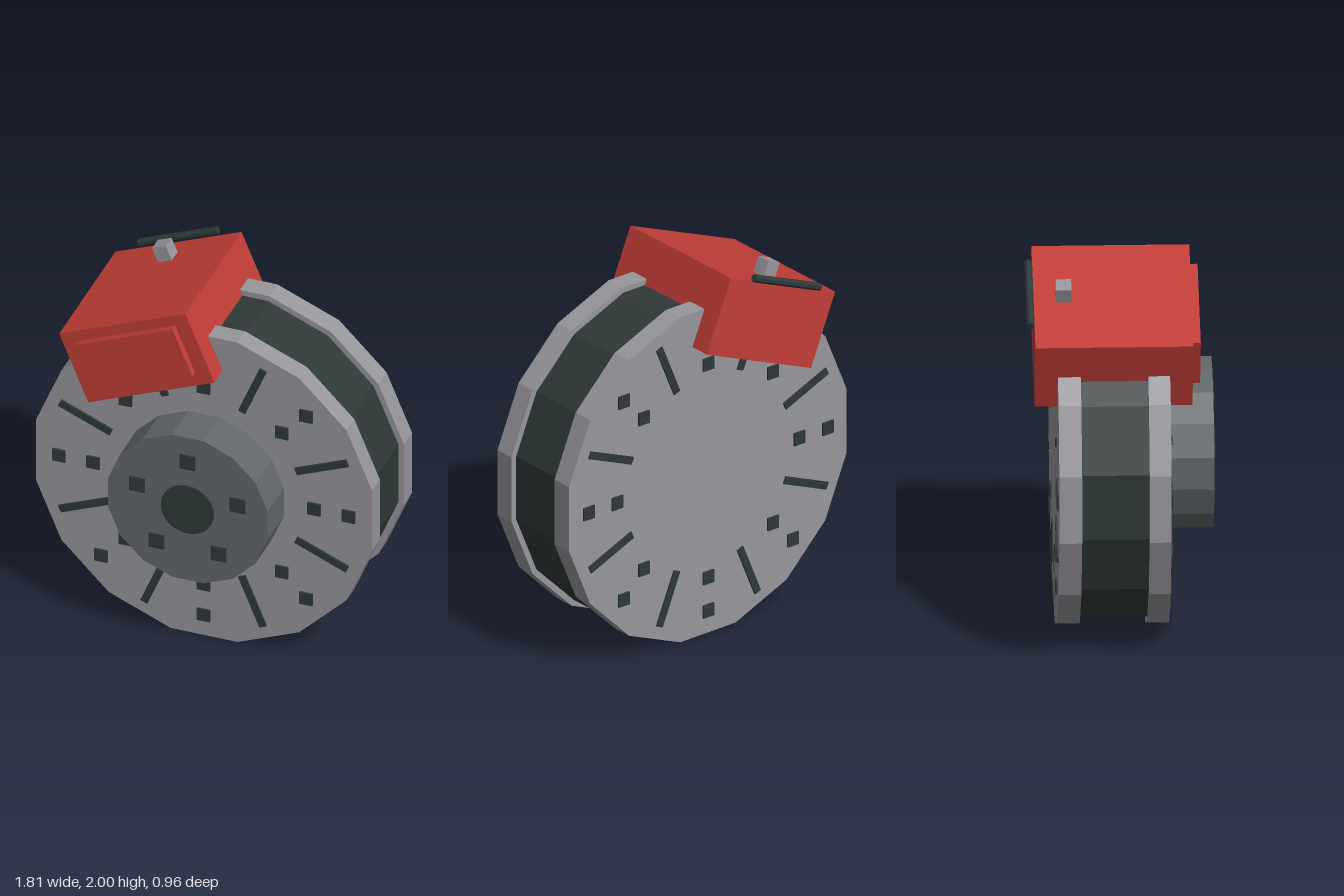
import * as THREE from 'three';

const mat = (name, color) => {
  const m = new THREE.MeshStandardMaterial({ color });
  m.name = name;
  m.flatShading = true;
  return m;
};

export function createModel() {
  const steel = mat('steel grey', 0x96969c);
  const hubGrey = mat('hub grey', 0x62676a);
  const dark = mat('dark green grey', 0x2f3938);
  const red = mat('caliper red', 0xc23e37);

  const model = new THREE.Group();
  model.name = 'brakeDisc';

  const add = (parent, name, geometry, material, x = 0, y = 0, z = 0, turn = 0) => {
    const mesh = new THREE.Mesh(geometry, material);
    mesh.name = name;
    mesh.position.set(x, y, z);
    mesh.rotation.z = turn;
    parent.add(mesh);
    return mesh;
  };

  // Prism along z between z0 and z1, with a flat side on top
  const prism = (radius, z0, z1, sides) => new THREE.CylinderGeometry(radius, radius, z1 - z0, sides)
    .rotateY(Math.PI / sides).rotateX(Math.PI / 2).translate(0, 0, (z0 + z1) / 2);

  // Wheel-shaped parts share one centre
  const rotor = new THREE.Group();
  rotor.name = 'rotor';
  rotor.position.y = 0.905;
  model.add(rotor);
  add(rotor, 'frontDisc', prism(0.923, 0.13, 0.24, 16), steel);
  add(rotor, 'backDisc', prism(0.923, -0.325, -0.21, 16), steel);
  add(rotor, 'core', prism(0.892, -0.21, 0.13, 16), dark);
  add(rotor, 'hub', prism(0.438, 0.24, 0.47, 16), hubGrey);
  add(rotor, 'hubCap', prism(0.142, 0.46, 0.48, 32), dark);

  // Five hub bolts
  const bolt = new THREE.BoxGeometry(0.082, 0.082, 0.02);
  for (let i = 0; i < 5; i++) {
    const a = Math.PI / 2 + i * Math.PI * 0.4;
    add(rotor, 'hubBolt', bolt, dark, 0.284 * Math.cos(a), 0.284 * Math.sin(a), 0.47);
  }

  // Vent holes and slots on both disc faces
  const hole = new THREE.BoxGeometry(0.07, 0.07, 0.02);
  const slot = new THREE.BoxGeometry(0.3, 0.04, 0.02);
  for (const z of [0.242, -0.325]) {
    for (let i = 0; i < 8; i++) {
      const a = i * Math.PI / 4;
      for (const r of [0.595, 0.78]) {
        add(rotor, 'ventHole', hole, dark, r * Math.cos(a), r * Math.sin(a), z);
      }
      const b = a + Math.PI / 8;
      add(rotor, 'ventSlot', slot, dark, 0.688 * Math.cos(b), 0.688 * Math.sin(b), z, b);
    }
  }

  // Caliper clamped over the rim
  const caliper = new THREE.Group();
  caliper.name = 'caliper';
  caliper.position.set(-0.318, 1.67, 0);
  caliper.rotation.z = Math.PI / 8;
  model.add(caliper);
  add(caliper, 'caliperBody', new THREE.BoxGeometry(0.735, 0.41, 0.795), red, 0, 0, -0.0425);
  add(caliper, 'caliperPlate', new THREE.BoxGeometry(0.57, 0.28, 0.05), red, 0, 0.008, 0.37);
  add(caliper, 'bleedNipple', new THREE.BoxGeometry(0.08, 0.09, 0.08), steel, 0, 0.245, -0.29);
  const pipe = new THREE.CylinderGeometry(0.021, 0.021, 0.46, 8).rotateY(Math.PI / 8).rotateZ(Math.PI / 2);
  add(caliper, 'brakeLine', pipe, dark, 0, 0.225, -0.46);

  return model;
}
